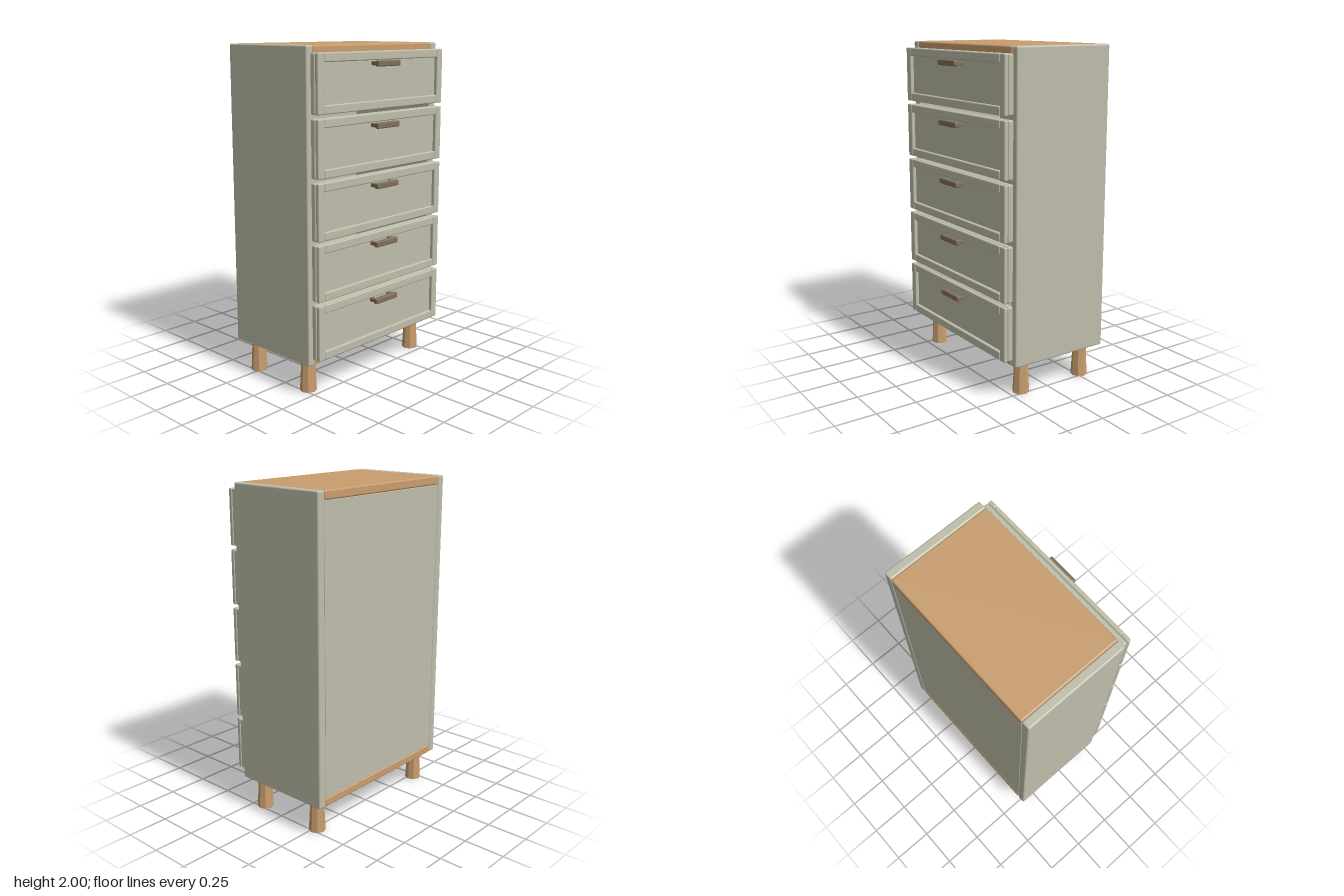
import * as THREE from 'three';
import { RoundedBoxGeometry } from 'three/addons/geometries/RoundedBoxGeometry.js';

export function createModel() {
  const group = new THREE.Group();
  group.name = 'chestOfDrawers';

  const paint = new THREE.MeshStandardMaterial({ color: 0xbfbdaa });
  paint.name = 'sagePaint';
  const wood = new THREE.MeshStandardMaterial({ color: 0xc89d6e });
  wood.name = 'wood';
  const bronze = new THREE.MeshStandardMaterial({ color: 0x7f705b });
  bronze.name = 'bronze';

  // Softened board given by its minimum and maximum corners
  function board(parent, name, material, [x0, y0, z0], [x1, y1, z1], radius = 0.01) {
    const geometry = new RoundedBoxGeometry(x1 - x0, y1 - y0, z1 - z0, 2, radius);
    const mesh = new THREE.Mesh(geometry, material);
    mesh.name = name;
    mesh.position.set((x0 + x1) / 2, (y0 + y1) / 2, (z0 + z1) / 2);
    parent.add(mesh);
    return mesh;
  }

  // Carcass
  const back = -0.373, front = 0.269, base = 0.196;
  board(group, 'leftSide', paint, [0.503, base, back], [0.556, 2, front]);
  board(group, 'rightSide', paint, [-0.556, base, back], [-0.503, 2, front]);
  board(group, 'topBoard', wood, [-0.503, 1.947, back], [0.503, 2, front]);
  board(group, 'bottomBoard', wood, [-0.503, base, back], [0.503, base + 0.053, front]);
  board(group, 'backPanel', paint, [-0.503, 0.249, back + 0.003], [0.503, 1.947, back + 0.023], 0.002);

  // Framed drawers with bar handles
  const half = 0.327 / 2, width = 0.537, rail = 0.05;
  for (let i = 0; i < 5; i++) {
    const drawer = new THREE.Group();
    drawer.name = `drawer${i + 1}`;
    drawer.position.y = 0.402 + i * 0.349;
    group.add(drawer);

    board(drawer, 'drawerPanel', paint, [-width, -half, 0.275], [width, half, 0.311]);
    const z0 = 0.311, z1 = 0.336, inner = width - rail;
    board(drawer, 'leftStile', paint, [inner, -half, z0], [width, half, z1], 0.007);
    board(drawer, 'rightStile', paint, [-width, -half, z0], [-inner, half, z1], 0.007);
    board(drawer, 'topRail', paint, [-inner, half - rail, z0], [inner, half, z1], 0.007);
    board(drawer, 'bottomRail', paint, [-inner, -half, z0], [inner, rail - half, z1], 0.007);

    board(drawer, 'handleBar', bronze, [-0.094, 0.078, 0.344], [0.094, 0.112, 0.373], 0.007);
    for (const x of [-0.076, 0.076]) {
      board(drawer, 'handlePost', bronze, [x - 0.012, 0.084, 0.309], [x + 0.012, 0.106, 0.35], 0.003);
    }
  }

  // Faceted legs, flaring towards the floor
  const legWood = wood.clone();
  legWood.name = 'legWood';
  legWood.flatShading = true;
  const legGeometry = new THREE.CylinderGeometry(0.04, 0.05, base, 8);
  for (const x of [-0.47, 0.47]) {
    for (const z of [-0.27, 0.171]) {
      const leg = new THREE.Mesh(legGeometry, legWood);
      leg.name = z > 0 ? 'frontLeg' : 'backLeg';
      leg.position.set(x, base / 2, z);
      group.add(leg);
    }
  }

  return group;
}
